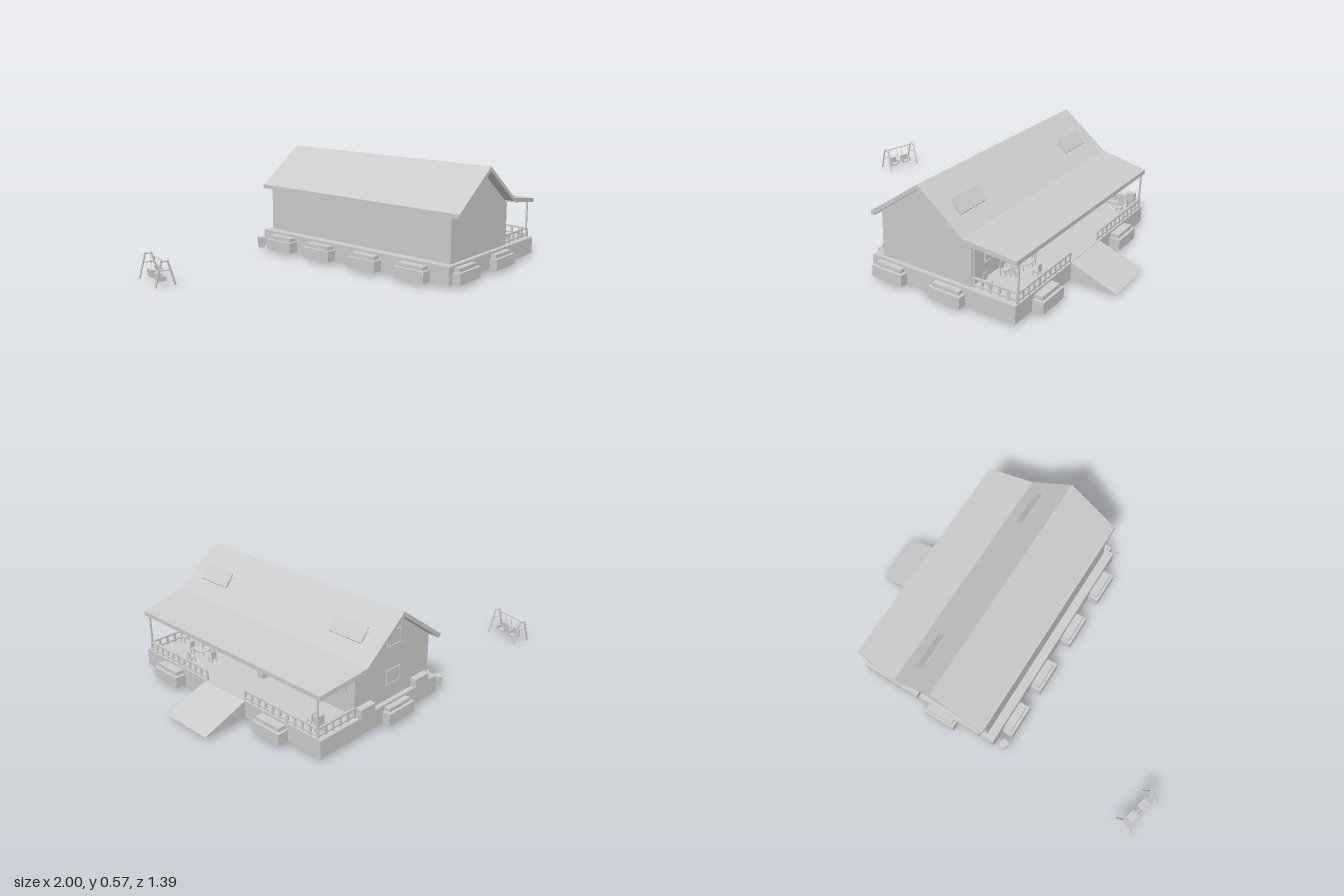
import * as THREE from 'three';
import { ConvexGeometry } from 'three/addons/geometries/ConvexGeometry.js';

const mat = new THREE.MeshStandardMaterial({ color: 0xcccccc, flatShading: true, side: THREE.DoubleSide });

function add(parent, name, geometry) {
  const m = new THREE.Mesh(geometry, mat);
  m.name = name;
  parent.add(m);
  return m;
}

// Box given by its lower and upper bounds
function box(parent, name, x0, x1, y0, y1, z0, z1) {
  const m = add(parent, name, new THREE.BoxGeometry(x1 - x0, y1 - y0, z1 - z0));
  m.position.set((x0 + x1) / 2, (y0 + y1) / 2, (z0 + z1) / 2);
  return m;
}

// Outline in x and y, extruded along z
function prism(parent, name, pts, z0, z1) {
  const shape = new THREE.Shape(pts.map(p => new THREE.Vector2(...p)));
  const g = new THREE.ExtrudeGeometry(shape, { depth: z1 - z0, bevelEnabled: false });
  return add(parent, name, g.translate(0, 0, z0));
}

// Round bar between two points
function bar(parent, name, a, b, r) {
  const p = new THREE.Vector3(...a), q = new THREE.Vector3(...b);
  const m = add(parent, name, new THREE.CylinderGeometry(r, r, p.distanceTo(q), 6));
  m.position.copy(p).lerp(q, 0.5);
  m.quaternion.setFromUnitVectors(new THREE.Vector3(0, 1, 0), q.sub(p).normalize());
  return m;
}

function group(parent, name, x = 0, y = 0, z = 0, turn = 0) {
  const g = new THREE.Group();
  g.name = name;
  g.position.set(x, y, z);
  g.rotation.y = turn;
  parent.add(g);
  return g;
}

// Hollow planter against the base, reaching out along its own +z
function planter(parent, x, z, turn) {
  const g = group(parent, 'planter', x, 0.02, z, turn);
  const tier = (name, w, d, y0, y1) => {
    const t = 0.004;
    box(g, name + 'Front', -w, w, y0, y1, d - t, d);
    for (const s of [-1, 1]) box(g, name + 'Side', s * w - t / 2, s * w + t / 2, y0, y1, 0, d);
    box(g, name + 'Top', -w, w, y1 - t, y1, 0, d);
  };
  tier('trough', 0.09, 0.06, 0, 0.06);
  tier('hedge', 0.075, 0.045, 0.055, 0.08);
}

// Railing along local x with evenly spaced balusters
function railing(parent, x, z, length, turn) {
  const g = group(parent, 'railing', x, 0.11, z, turn);
  box(g, 'topRail', 0, length, 0.046, 0.055, -0.005, 0.005);
  box(g, 'bottomRail', 0, length, 0.01, 0.018, -0.005, 0.005);
  const n = Math.round(length / 0.047);
  for (let i = 0; i <= n; i++) {
    const c = (i * length) / n;
    box(g, 'baluster', c - 0.006, c + 0.006, 0, 0.05, -0.004, 0.004);
  }
}

function chair(parent, x, y, z, turn, s = 1) {
  const g = group(parent, 'chair', x, y, z, turn);
  g.scale.setScalar(s);
  box(g, 'seat', -0.015, 0.015, 0.025, 0.03, -0.015, 0.015);
  box(g, 'backrest', -0.015, 0.015, 0.03, 0.065, -0.017, -0.013);
  for (const i of [-1, 1]) for (const k of [-1, 1])
    box(g, 'leg', i * 0.013 - 0.002, i * 0.013 + 0.002, 0, 0.025, k * 0.013 - 0.002, k * 0.013 + 0.002);
}

// Framed pane facing +x, or facing z when turned
function windowFrame(parent, name, x, y, z, w, h, turn = 0) {
  const g = group(parent, name, x, y, z, turn);
  const t = 0.006;
  box(g, 'pane', -0.002, 0.003, -h / 2, h / 2, -w / 2, w / 2);
  for (const s of [-1, 1]) {
    box(g, 'frameSide', 0, 0.007, -h / 2, h / 2, s * (w / 2 - t / 2) - t / 2, s * (w / 2 - t / 2) + t / 2);
    box(g, 'frameBar', 0, 0.007, s * (h / 2 - t / 2) - t / 2, s * (h / 2 - t / 2) + t / 2, -w / 2, w / 2);
  }
}

function buildBase(root) {
  const g = group(root, 'base');
  box(g, 'floor', -0.08, 0.755, 0.1, 0.112, -0.648, 0.648);
  for (const s of [-1, 1])
    box(g, 'endWall', -0.08, 0.755, 0.02, 0.11, s * 0.645 - 0.005, s * 0.645 + 0.005);
  box(g, 'rearWall', -0.08, -0.07, 0.02, 0.11, -0.645, 0.645);
  box(g, 'porchWall', 0.745, 0.755, 0.02, 0.11, -0.645, 0.645);
  prism(g, 'ramp', [[0.755, 0.02], [1, 0.02], [0.755, 0.11]], -0.145, 0.15);
  for (const z of [0.415, -0.35]) planter(g, 0.755, z, Math.PI / 2);
  for (const z of [-0.47, -0.18, 0.14, 0.45]) planter(g, -0.085, z, -Math.PI / 2);
  for (const x of [0.045, 0.39]) planter(g, x, 0.635, 0);
  planter(g, 0.245, -0.635, Math.PI);
  // loose pot on the ground behind the corner
  const pot = add(g, 'pot', new THREE.CylinderGeometry(0.03, 0.022, 0.06, 4));
  pot.position.set(-0.13, 0.05, -0.62);
  pot.rotation.y = 0.25;
}

function buildHouse(root) {
  const g = group(root, 'house');
  prism(g, 'walls', [[-0.03, 0.11], [0.5, 0.11], [0.5, 0.345], [0.235, 0.552], [-0.03, 0.358]], -0.625, 0.625);
  prism(g, 'mainRoof', [[-0.045, 0.37], [0.235, 0.575], [0.49, 0.375], [0.475, 0.363], [0.235, 0.55], [-0.035, 0.352]], -0.68, 0.68);
  box(g, 'gutter', -0.05, -0.03, 0.35, 0.372, -0.68, 0.68);
  // porch roof narrows towards its outer edge
  const corners = [];
  for (const s of [-1, 1])
    for (const [x, y, z] of [[0.485, 0.378, 0.68], [0.485, 0.355, 0.68], [0.755, 0.335, 0.648], [0.755, 0.312, 0.648]])
      corners.push(new THREE.Vector3(x, y, s * z));
  add(g, 'porchRoof', new ConvexGeometry(corners));
  // open skylights, hinged at the lower edge
  for (const z of [-0.47, 0.487]) {
    prism(g, 'skylight', [[0.357, 0.502], [0.361, 0.506], [0.413, 0.442], [0.408, 0.436]], z - 0.102, z + 0.102);
    prism(g, 'skylightFrame', [[0.357, 0.483], [0.412, 0.44], [0.408, 0.43], [0.352, 0.474]], z - 0.102, z + 0.102);
  }
  // porch-side door and windows
  windowFrame(g, 'door', 0.5, 0.196, 0.007, 0.125, 0.168);
  for (const [z, w] of [[0.477, 0.095], [0.185, 0.09], [-0.128, 0.095]])
    windowFrame(g, 'porchWindow', 0.5, 0.231, z, w, 0.072);
  box(g, 'hangingPanel', 0.503, 0.512, 0.23, 0.335, -0.57, -0.23);
  windowFrame(g, 'lowWindow', 0.5, 0.21, -0.465, 0.1, 0.04);
  // rear gable windows and outdoor units
  for (const y of [0.23, 0.43]) windowFrame(g, 'gableWindow', 0.24, y, -0.625, 0.1, 0.08, Math.PI / 2);
  for (const x of [0.45, 0.05]) box(g, 'outdoorUnit', x - 0.05, x + 0.05, 0.11, 0.16, -0.66, -0.625);
}

function buildPorch(root) {
  const g = group(root, 'porch');
  for (const x of [0.508, 0.745]) for (const z of [-0.625, 0.615])
    box(g, 'post', x - 0.004, x + 0.004, 0.11, 0.35 - (x - 0.5) * 0.14, z - 0.004, z + 0.004);
  railing(g, 0.745, 0.62, 0.47, Math.PI / 2);
  railing(g, 0.745, -0.14, 0.485, Math.PI / 2);
  for (const z of [0.617, -0.625]) railing(g, 0.505, z, 0.24, 0);
  // table under a parasol, chairs around it
  const set = group(g, 'diningSet', 0.61, 0.11, 0.355);
  bar(set, 'parasolPole', [0, 0, 0], [0, 0.13, 0], 0.003);
  add(set, 'parasol', new THREE.ConeGeometry(0.045, 0.025, 8, 1, true)).position.y = 0.125;
  add(set, 'tableTop', new THREE.CylinderGeometry(0.04, 0.04, 0.005, 12)).position.y = 0.05;
  for (let i = 0; i < 4; i++) {
    const a = (i * Math.PI) / 2;
    chair(set, 0.075 * Math.sin(a), 0, 0.075 * Math.cos(a), a + Math.PI);
  }
  for (const z of [0.58, 0.44]) chair(g, 0.56, 0.11, z, Math.PI / 2, 1.1);
  // small tree in a tub
  const tree = group(g, 'pottedTree', 0.535, 0.11, -0.03);
  box(tree, 'tub', -0.02, 0.02, 0, 0.035, -0.02, 0.02);
  bar(tree, 'trunk', [0, 0.03, 0], [0, 0.06, 0], 0.003);
  add(tree, 'foliage', new THREE.ConeGeometry(0.022, 0.045, 8)).position.y = 0.075;
  // grill and seats at the far end
  const grill = group(g, 'grill', 0.71, 0.11, -0.595);
  box(grill, 'firebox', -0.022, 0.022, 0.055, 0.095, -0.015, 0.015);
  for (const x of [-0.018, 0.018]) box(grill, 'leg', x - 0.003, x + 0.003, 0, 0.055, -0.01, 0.01);
  box(g, 'bench', 0.55, 0.66, 0.13, 0.14, -0.59, -0.55);
  for (const x of [0.56, 0.65]) box(g, 'benchLeg', x - 0.005, x + 0.005, 0.11, 0.13, -0.585, -0.555);
  chair(g, 0.68, 0.11, -0.52, 0);
}

function buildSwings(root) {
  const g = group(root, 'swingSet', -0.921, 0, -0.545, -0.24);
  bar(g, 'topBeam', [0, 0.13, -0.105], [0, 0.13, 0.105], 0.004);
  for (const z of [-0.103, 0.103]) {
    for (const s of [-1, 1]) bar(g, 'leg', [s * 0.053, 0.002, z], [s * 0.016, 0.135, z], 0.005);
    bar(g, 'crossBar', [-0.03, 0.085, z], [0.03, 0.085, z], 0.003);
    bar(g, 'headBar', [-0.018, 0.13, z], [0.018, 0.13, z], 0.004);
  }
  for (const z of [-0.045, 0.045]) {
    const s = group(g, 'swing', 0, 0, z);
    for (const k of [-1, 1]) {
      bar(s, 'rope', [0, 0.13, k * 0.024], [0, 0.05, k * 0.026], 0.0015);
      box(s, 'armrest', -0.02, 0.02, 0.025, 0.045, k * 0.027 - 0.002, k * 0.027 + 0.002);
    }
    box(s, 'seat', -0.02, 0.02, 0.02, 0.026, -0.027, 0.027);
    box(s, 'backrest', -0.022, -0.017, 0.025, 0.06, -0.027, 0.027);
  }
}

export function createModel() {
  const root = new THREE.Group();
  root.name = 'houseWithPorch';
  buildBase(root);
  buildHouse(root);
  buildPorch(root);
  buildSwings(root);
  return root;
}
